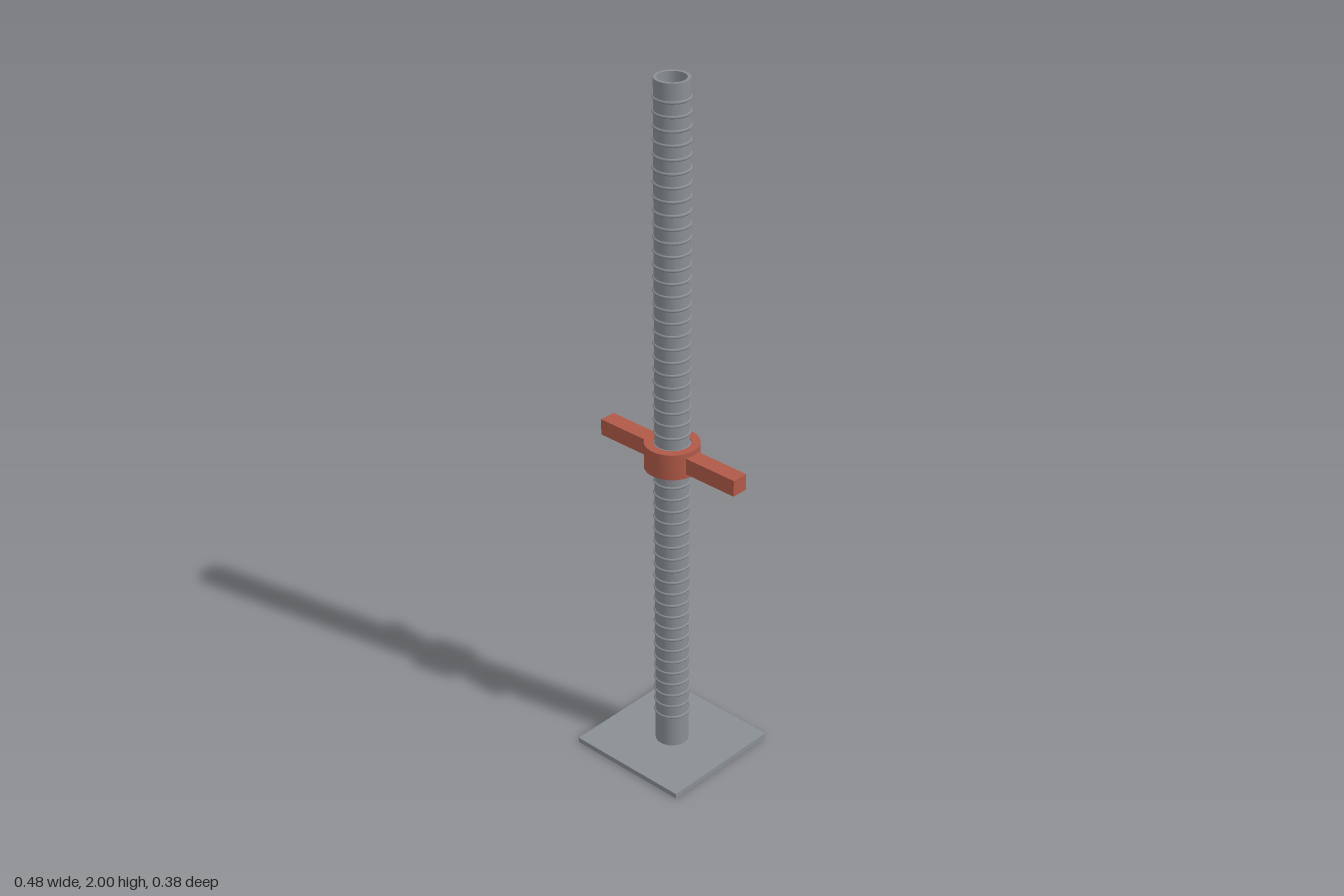
import * as THREE from 'three';
import { toCreasedNormals } from 'three/addons/utils/BufferGeometryUtils.js';

const steel = new THREE.MeshStandardMaterial({ color: 0x8a8f94 });
steel.name = 'steel grey';
const red = new THREE.MeshStandardMaterial({ color: 0xb05a48 });
red.name = 'painted red';

// Hollow cylinder with sharp rims
function sleeve(inner, outer, y0, y1) {
  const profile = [[inner, y0], [outer, y0], [outer, y1], [inner, y1], [inner, y0]]
    .map(([r, y]) => new THREE.Vector2(r, y));
  return toCreasedNormals(new THREE.LatheGeometry(profile, 40), 0.6);
}

export function createModel() {
  const model = new THREE.Group();
  model.name = 'screwJack';
  const add = (name, geometry, material, x = 0, y = 0, z = 0) => {
    const mesh = new THREE.Mesh(geometry, material);
    mesh.name = name;
    mesh.position.set(x, y, z);
    model.add(mesh);
    return mesh;
  };

  // Square foot plate and hollow stem
  add('basePlate', new THREE.BoxGeometry(0.375, 0.015, 0.375), steel, 0, 0.0075, 0);
  add('stem', sleeve(0.038, 0.047, 0.012, 2), steel);

  // Thread ridges along the stem
  const ridge = new THREE.TorusGeometry(0.0465, 0.0045, 6, 40).rotateX(Math.PI / 2);
  const count = 50, pitch = 0.0375;
  for (let i = 0; i < count; i++) {
    add('threadRidge', ridge, steel, 0, 0.113 + i * pitch, 0);
  }

  // Adjusting nut with two handles
  add('nutCollar', sleeve(0.051, 0.075, 0.905, 0.98), red);
  for (const side of [-1, 1]) {
    add(side > 0 ? 'leftHandle' : 'rightHandle',
      new THREE.BoxGeometry(0.168, 0.047, 0.048), red, side * 0.154, 0.942, 0);
  }
  return model;
}
